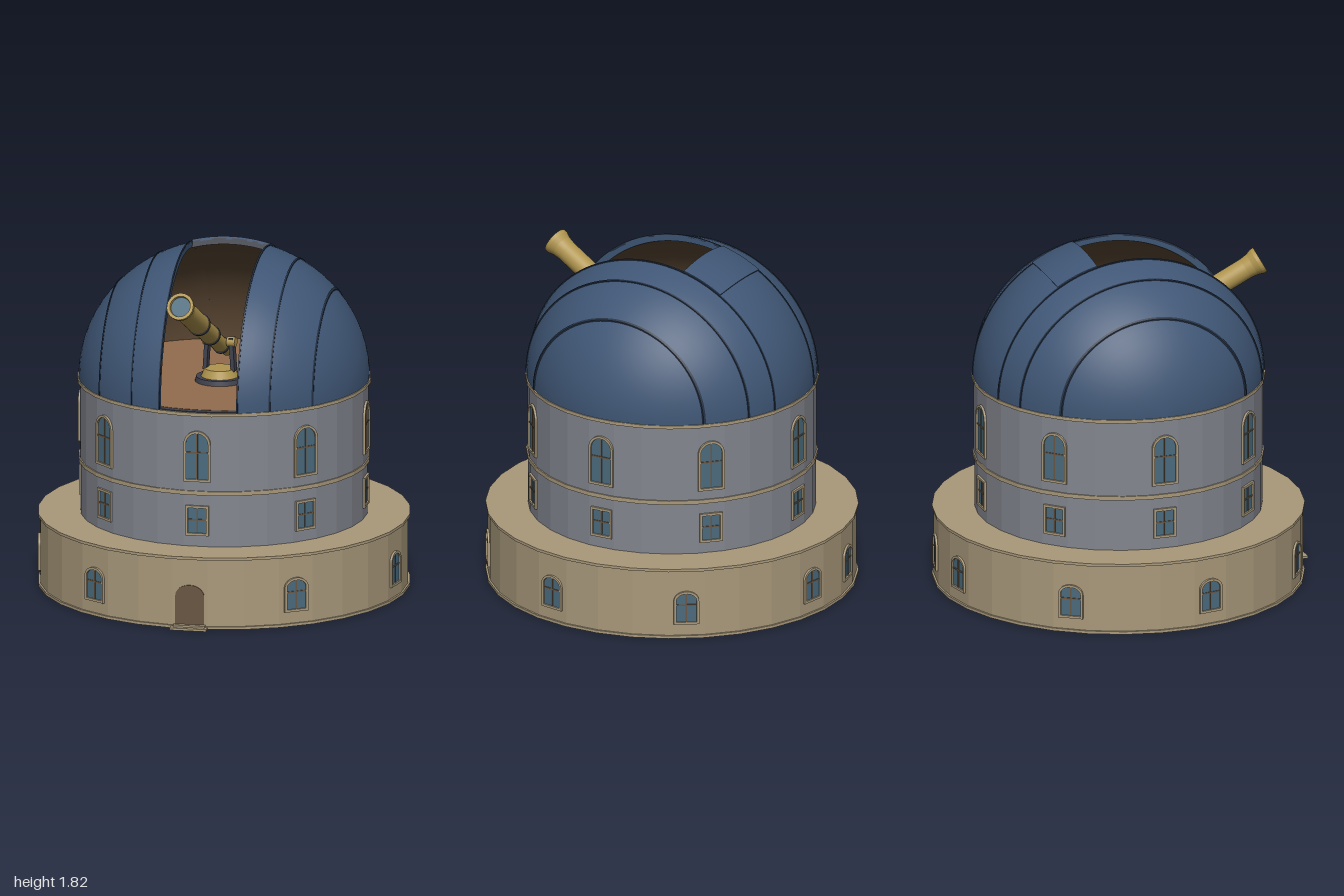
import * as THREE from 'three';

const mat = (name, color, extra = {}) => {
  const m = new THREE.MeshStandardMaterial({ color, ...extra });
  m.name = name;
  return m;
};

const SIDES = 32, STEP = Math.PI / SIDES, CZ = -0.02;
const R = 0.765, H = 0.72, RIM = 1.118; // dome radius, height and rim level

export function createModel() {
  const stone = mat('stone', 0xa9997b, { flatShading: true });
  const wall = mat('grey wall', 0x83868f, { flatShading: true });
  const blue = mat('dome blue', 0x3f5675);
  const seam = mat('seam blue', 0x222f42);
  const lining = mat('dome lining', 0x5a4632);
  const floorWood = mat('floor wood', 0x926d4d);
  const brass = mat('brass', 0xb0954f);
  const glass = mat('glass', 0x4b6b7e);
  const iron = mat('dark iron', 0x40424e);
  const wood = mat('door wood', 0x6a5642);

  const root = new THREE.Group();
  root.name = 'observatory';
  const building = new THREE.Group();
  building.name = 'building';
  building.position.z = CZ;
  root.add(building);

  const add = (parent, name, geo, material, x = 0, y = 0, z = 0) => {
    const m = new THREE.Mesh(geo, material);
    m.name = name;
    m.position.set(x, y, z);
    parent.add(m);
    return m;
  };

  // Faceted drums, with a flat facet centred on the front
  const drum = (name, r, y0, y1, material) => {
    const g = new THREE.CylinderGeometry(r, r, y1 - y0, SIDES);
    g.rotateY(STEP);
    add(building, name, g, material, 0, (y0 + y1) / 2, 0);
  };
  drum('plinth', 0.98, 0, 0.015, stone);
  drum('baseDrum', 0.97, 0.015, 0.375, stone);
  drum('baseLedge', 0.98, 0.375, 0.39, stone);
  drum('lowerWall', 0.757, 0.39, 0.67, wall);
  drum('middleBand', 0.767, 0.67, 0.692, stone);
  drum('upperWall', 0.76, 0.692, 1.1, wall);
  drum('cornice', 0.773, 1.1, RIM, stone);
  add(building, 'domeTrack', new THREE.CylinderGeometry(0.76, 0.76, 0.01, 64), iron, 0, RIM);
  add(building, 'floor', new THREE.CylinderGeometry(0.725, 0.725, 0.012, 64), floorWood, 0, RIM + 0.001);

  // Outline of an opening; rise is the height of its rounded head
  const outline = (w, y0, y1, rise) => {
    const s = new THREE.Shape();
    s.moveTo(-w, y0);
    s.lineTo(w, y0);
    s.lineTo(w, y1 - rise);
    if (rise > 0) s.absellipse(0, y1 - rise, w, rise, 0, Math.PI, false, 0);
    else s.lineTo(-w, y1);
    s.closePath();
    return s;
  };

  // Framed window with glazing bars, set on the facet at a given azimuth
  const windowAt = (name, azimuth, dist, w, y0, y1, rise, barY) => {
    const t = 0.013;
    const g = new THREE.Group();
    g.name = name;
    g.rotation.y = azimuth;
    building.add(g);
    const frame = outline(w, y0, y1, rise);
    frame.holes.push(outline(w - t, y0 + t, y1 - t, Math.max(rise - t, 0)));
    add(g, 'windowFrame', new THREE.ExtrudeGeometry(frame, { depth: 0.022, bevelEnabled: false, curveSegments: 10 }),
      stone, 0, 0, dist - 0.01);
    add(g, 'windowPane', new THREE.ShapeGeometry(outline(w - t, y0 + t, y1 - t, Math.max(rise - t, 0)), 10),
      glass, 0, 0, dist + 0.003);
    add(g, 'uprightBar', new THREE.BoxGeometry(0.008, y1 - y0 - 2 * t, 0.004), wood, 0, (y0 + y1) / 2, dist + 0.005);
    add(g, 'crossBar', new THREE.BoxGeometry(2 * (w - t), 0.008, 0.004), wood, 0, barY, dist + 0.005);
  };
  const apothem = Math.cos(STEP);
  for (let i = 0; i < 8; i++) {
    windowAt('tallWindow', i * Math.PI / 4, 0.76 * apothem, 0.072, 0.743, 1.018, 0.072, 0.9);
    windowAt('squareWindow', i * Math.PI / 4, 0.757 * apothem, 0.062, 0.45, 0.612, 0, 0.535);
  }
  for (const k of [3, 7, 11, 15]) for (const side of [-1, 1])
    windowAt('baseWindow', side * k * 2 * STEP, 0.97 * apothem, 0.067, 0.078, 0.262, 0.052, 0.185);

  // Door and steps
  add(building, 'door', new THREE.ExtrudeGeometry(outline(0.077, 0.015, 0.235, 0.06), { depth: 0.009, bevelEnabled: false }),
    wood, 0, 0, 0.97 * apothem - 0.004);
  add(root, 'lowerStep', new THREE.BoxGeometry(0.195, 0.012, 0.12), stone, 0, 0.006, 0.94);
  add(root, 'upperStep', new THREE.BoxGeometry(0.17, 0.01, 0.08), stone, 0, 0.017, 0.935);

  // Curved dome panel: a box bent over the dome, from x0 to x1 and from angle a0 (front) to a1 (back)
  const panel = (name, x0, x1, a0, a1, rIn, rOut, material, nx = 16) => {
    const g = new THREE.BoxGeometry(1, 1, 1, nx, 56, 1);
    const p = g.attributes.position;
    const u0 = Math.asin(x0 / R), u1 = Math.asin(x1 / R);
    for (let i = 0; i < p.count; i++) {
      const X = Math.sin(u0 + (u1 - u0) * (p.getX(i) + 0.5));
      const a = a0 + (a1 - a0) * (p.getY(i) + 0.5);
      const r = p.getZ(i) > 0 ? rOut : rIn;
      const s = Math.sqrt(Math.max(0, r * r - X * X));
      p.setXYZ(i, R * X, H * s * Math.sin(a), R * s * Math.cos(a));
    }
    g.computeVertexNormals();
    add(building, name, g, material, 0, RIM, 0);
  };
  const slit = 0.205, back = 1.826;
  const shell = [blue, blue, blue, blue, blue, lining];
  panel('leftDome', slit, R, 0, Math.PI, 0.955, 1, shell);
  panel('rightDome', -R, -slit, 0, Math.PI, 0.955, 1, shell);
  panel('rearDome', -slit, slit, back, Math.PI, 0.955, 1, [blue, blue, iron, iron, blue, lining]);
  panel('shutter', -slit - 0.004, slit + 0.004, back, 2.15, 0.99, 1.013, blue);
  for (const x of [slit + 0.004, 0.37, 0.57]) for (const side of [-1, 1])
    panel('domeSeam', side * x - 0.004, side * x + 0.004, 0, Math.PI, 0.99, 1.006, seam, 1);

  // Telescope mount: pedestal and fork
  const mount = new THREE.Group();
  mount.name = 'telescopeMount';
  mount.position.set(0, RIM, 0.1);
  mount.rotation.y = -0.137;
  root.add(mount);
  add(mount, 'mountBase', new THREE.CylinderGeometry(0.125, 0.132, 0.03, 32), iron, 0, 0.018);
  add(mount, 'pedestal', new THREE.CylinderGeometry(0.08, 0.1, 0.045, 32), brass, 0, 0.053);
  for (const side of [-1, 1]) {
    const arm = add(mount, 'forkArm', new THREE.BoxGeometry(0.022, 0.18, 0.045), iron, side * 0.072, 0.155);
    arm.rotation.z = side * 0.06;
    const hub = add(mount, 'trunnion', new THREE.CylinderGeometry(0.027, 0.027, 0.045, 20), brass, side * 0.066, 0.222);
    hub.rotation.z = Math.PI / 2;
  }

  // Telescope tube, turned along its axis and aimed through the slit
  const scope = new THREE.Group();
  scope.name = 'telescope';
  scope.position.set(0.015, 1.25, -0.03);
  scope.lookAt(-0.092, 1.69, 0.735);
  root.add(scope);
  const L = 0.89;
  const profile = [[0, 0], [0.026, 0], [0.026, 0.1], [0.042, 0.12], [0.042, 0.32], [0.051, 0.325], [0.051, 0.53],
    [0.057, 0.535], [0.057, 0.8], [0.062, 0.84], [0.073, 0.87], [0.073, L], [0.056, L], [0.052, L - 0.02]];
  // Doubled points keep the turned edges crisp
  const pts = [];
  for (let i = 0; i < profile.length - 1; i++) pts.push([profile[i], profile[i + 1]]);
  for (const pair of pts) {
    const g = new THREE.LatheGeometry(pair.map(q => new THREE.Vector2(...q)), 28);
    g.rotateX(Math.PI / 2);
    add(scope, 'tubeSection', g, brass);
  }
  for (const [z, r] of [[0.12, 0.046], [0.32, 0.055], [0.53, 0.061]]) {
    const ring = add(scope, 'tubeRing', new THREE.CylinderGeometry(r, r, 0.018, 28), iron, 0, 0, z);
    ring.rotation.x = Math.PI / 2;
  }
  add(scope, 'lens', new THREE.CircleGeometry(0.054, 28), glass, 0, 0, L - 0.014);

  return root;
}
